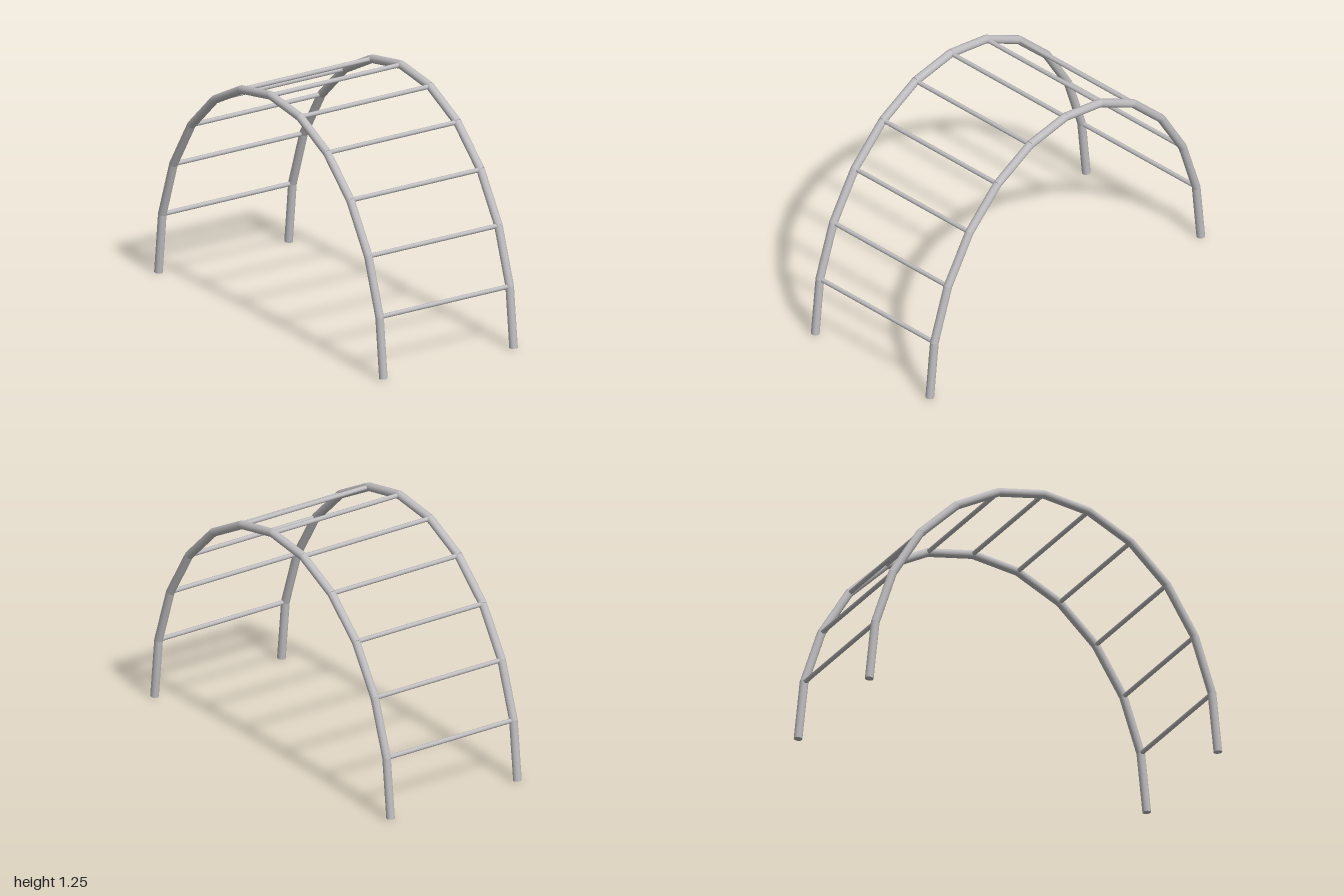
import * as THREE from 'three';

const STEPS = 12;          // straight rail segments per arch
const RX = 0.978, RY = 1.2225, BASE = 0.0045;
const RAIL_Z = 0.4, RAIL_R = 0.022, RUNG_R = 0.012;

export function createModel() {
  const group = new THREE.Group();
  group.name = 'archClimber';
  const steel = new THREE.MeshStandardMaterial({ color: 0xbfbdbf });
  steel.name = 'galvanised steel';

  // straight round bar between two points, lengthened at both ends by overlap
  function bar(name, a, b, radius, sides, overlap, parent) {
    const dir = b.clone().sub(a);
    const geo = new THREE.CylinderGeometry(radius, radius, dir.length() + 2 * overlap, sides);
    const mesh = new THREE.Mesh(geo, steel);
    mesh.name = name;
    mesh.position.copy(a).add(b).multiplyScalar(0.5);
    mesh.quaternion.setFromUnitVectors(new THREE.Vector3(0, 1, 0), dir.normalize());
    parent.add(mesh);
  }

  // joint on the half-ellipse, from the right foot (-x) to the left foot (+x)
  function joint(i, z) {
    const t = Math.PI * (1 - i / STEPS);
    return new THREE.Vector3(RX * Math.cos(t), BASE + RY * Math.sin(t), z);
  }

  // two arched side rails
  for (const side of [1, -1]) {
    const rail = new THREE.Group();
    rail.name = side > 0 ? 'frontRail' : 'backRail';
    for (let i = 0; i < STEPS; i++) {
      bar('railSegment', joint(i, side * RAIL_Z), joint(i + 1, side * RAIL_Z), RAIL_R, 16, 0.002, rail);
    }
    group.add(rail);
  }

  // one rung at every joint above the feet
  const rungs = new THREE.Group();
  rungs.name = 'rungs';
  for (let i = 1; i < STEPS; i++) {
    bar('rung', joint(i, -RAIL_Z), joint(i, RAIL_Z), RUNG_R, 12, 0, rungs);
  }
  group.add(rungs);

  return group;
}
